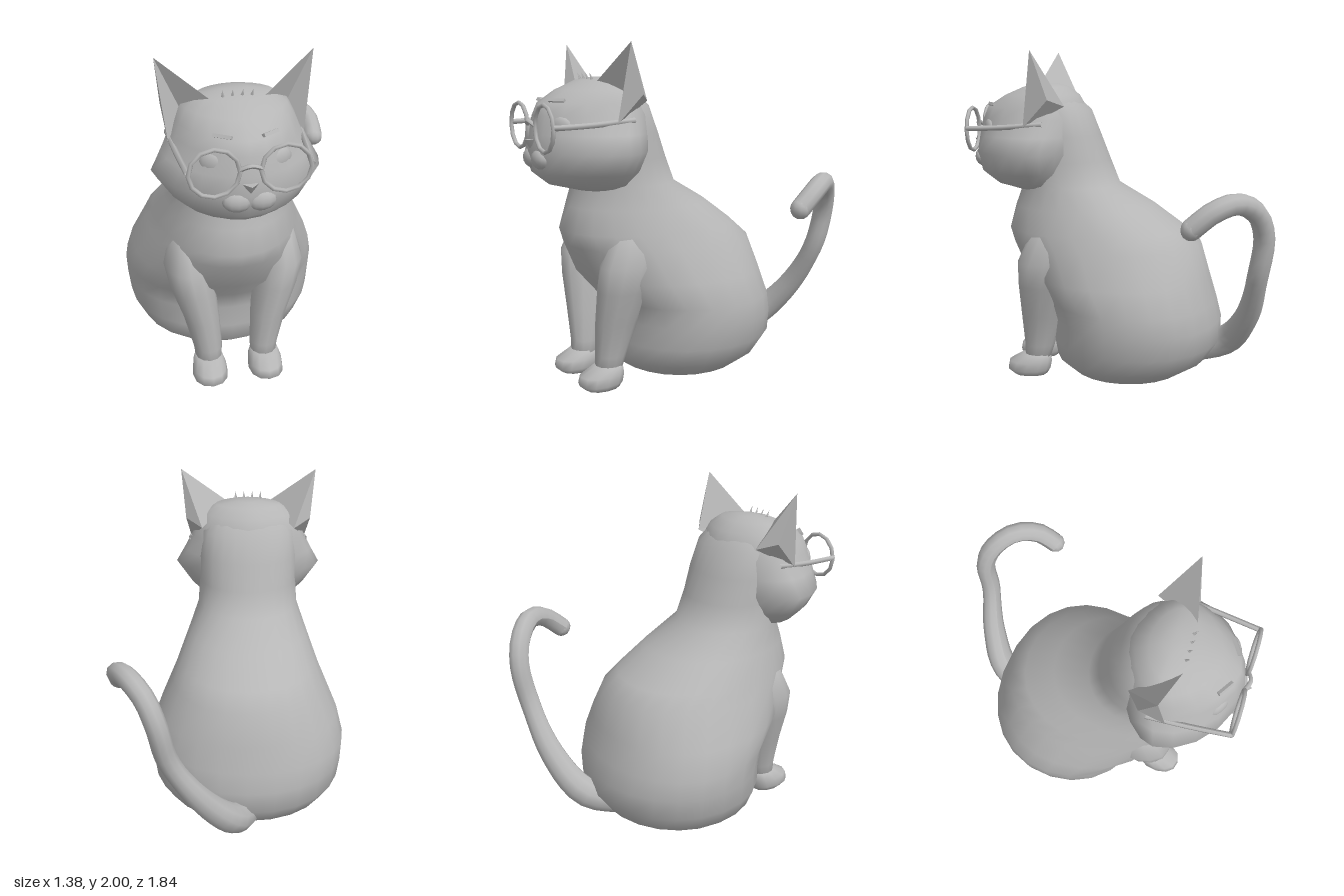
import * as THREE from 'three';

const MID = -0.09; // the cat's own centre line
const fur = new THREE.MeshStandardMaterial({ color: 0xb6b6b6, side: THREE.DoubleSide });
fur.name = 'grey';

// Skin horizontal sections, rows of [y, zFront, zBack, zWidest, halfWidth, xCentre]
function loft(rows, seg, p = 1) {
  const pos = [], idx = [];
  const pw = (v) => Math.sign(v) * Math.pow(Math.abs(v), p);
  const first = rows[0], last = rows[rows.length - 1];
  const shrink = (r) => [r[0], r[3] + 0.001, r[3] - 0.001, r[3], 0.001, r[5] || 0];
  const all = [shrink(first), ...rows, shrink(last)];
  for (const [y, zf, zb, zw, rx, x0 = 0] of all) {
    for (let j = 0; j < seg; j++) {
      const a = (j / seg) * Math.PI * 2, s = pw(Math.sin(a));
      pos.push(x0 + rx * pw(Math.cos(a)), y, zw + (s > 0 ? zf - zw : zw - zb) * s);
    }
  }
  for (let i = 0; i < all.length - 1; i++) {
    for (let j = 0; j < seg; j++) {
      const k = (j + 1) % seg;
      const a = i * seg + j, b = i * seg + k, c = a + seg, d = b + seg;
      idx.push(a, c, b, b, c, d);
    }
  }
  const g = new THREE.BufferGeometry();
  g.setAttribute('position', new THREE.Float32BufferAttribute(pos, 3));
  g.setIndex(idx);
  g.computeVertexNormals();
  return g;
}

// Separate triangles between named corner points
function facets(points, faces) {
  const g = new THREE.BufferGeometry();
  g.setAttribute('position', new THREE.Float32BufferAttribute(faces.flat().flatMap((i) => points[i]), 3));
  g.computeVertexNormals();
  return g;
}

// Tube along a smooth path, with its radius given by a function of t
function taperedTube(points, radiusAt, seg, sides) {
  const path = new THREE.CatmullRomCurve3(points.map((p) => new THREE.Vector3(...p)));
  const g = new THREE.TubeGeometry(path, seg, 1, sides, false);
  const pos = g.attributes.position, v = new THREE.Vector3();
  for (let i = 0; i < pos.count; i++) {
    const t = Math.floor(i / (sides + 1)) / seg;
    const c = path.getPointAt(t);
    v.fromBufferAttribute(pos, i).sub(c).multiplyScalar(radiusAt(t)).add(c);
    pos.setXYZ(i, v.x, v.y, v.z);
  }
  g.computeVertexNormals();
  return g;
}

export function createModel() {
  const model = new THREE.Group();
  model.name = 'sittingCat';
  const cat = new THREE.Group();
  cat.name = 'cat';
  cat.position.x = MID;
  model.add(cat);

  const add = (name, geometry, x = 0, y = 0, z = 0) => {
    const m = new THREE.Mesh(geometry, fur);
    m.name = name;
    m.position.set(x, y, z);
    cat.add(m);
    return m;
  };

  // Pear-shaped body running up into the neck
  add('body', loft([
    [0.01, 0.18, -0.12, 0.03, 0.2],
    [0.05, 0.31, -0.42, -0.06, 0.41],
    [0.13, 0.40, -0.55, -0.08, 0.51],
    [0.25, 0.42, -0.63, -0.10, 0.575],
    [0.38, 0.41, -0.63, -0.11, 0.59],
    [0.5, 0.45, -0.60, -0.11, 0.595],
    [0.65, 0.58, -0.555, -0.06, 0.555],
    [0.84, 0.67, -0.50, 0.0, 0.465],
    [0.93, 0.70, -0.40, 0.08, 0.425],
    [1.07, 0.66, -0.21, 0.2, 0.365],
    [1.2, 0.61, 0.01, 0.32, 0.31],
    [1.35, 0.6, 0.07, 0.36, 0.3],
    [1.5, 0.55, 0.13, 0.36, 0.3],
    [1.65, 0.5, 0.19, 0.38, 0.28],
    [1.75, 0.5, 0.3, 0.42, 0.22],
  ], 24, 0.96));

  // Head with wide pointed cheeks
  add('head', loft([
    [1.17, 0.62, 0.36, 0.5, 0.2],
    [1.21, 0.78, 0.3, 0.5, 0.3],
    [1.28, 0.87, 0.25, 0.5, 0.37],
    [1.40, 0.895, 0.22, 0.5, 0.455],
    [1.5, 0.88, 0.2, 0.48, 0.4],
    [1.6, 0.86, 0.2, 0.45, 0.35],
    [1.67, 0.83, 0.22, 0.45, 0.32],
    [1.74, 0.72, 0.26, 0.45, 0.28],
    [1.79, 0.6, 0.33, 0.45, 0.2],
    [1.81, 0.5, 0.4, 0.45, 0.07],
  ], 20, 1.12));

  // Face: nose, muzzle and tuft of hair
  add('nose', new THREE.ConeGeometry(0.04, 0.06, 4), 0, 1.44, 0.885).rotation.x = Math.PI;
  for (let i = 0; i < 4; i++) {
    const spike = add('hairTuft', new THREE.ConeGeometry(0.02, 0.09, 4), -0.075 + i * 0.05, 1.795, 0.54);
    spike.rotation.set(0.4, 0, 0.12 - i * 0.08);
  }

  for (const s of [-1, 1]) {
    const side = s > 0 ? 'left' : 'right';

    // Hollow ear opening forwards
    add(side + 'Ear', facets([
      [s * 0.41, 2.0, 0.47],
      [s * 0.12, 1.77, 0.55],
      [s * 0.36, 1.56, 0.53],
      [s * 0.28, 1.68, 0.30],
      [s * 0.27, 1.68, 0.44],
      [s * 0.38, 1.72, 0.38],
    ], [[0, 1, 3], [0, 3, 5], [0, 5, 2], [5, 3, 2], [0, 4, 1], [0, 2, 4]]));

    // Eye, brow and half of the muzzle
    const eye = add(side + 'Eye', new THREE.SphereGeometry(0.075, 14, 10), s * 0.17, 1.54, 0.775);
    eye.scale.set(1, 0.85, 0.45);
    eye.rotation.y = s * 0.5;
    const brow = add(side + 'Brow', new THREE.BoxGeometry(0.1, 0.018, 0.02), s * 0.12, 1.685, 0.775);
    brow.rotation.set(-0.6, s * 0.5, s * 0.3);
    const muzzle = add(side + 'Muzzle', new THREE.SphereGeometry(0.08, 12, 8), s * 0.06, 1.365, 0.855);
    muzzle.scale.set(1, 0.75, 0.6);

    // Spectacle rim and temple arm
    add(side + 'Rim', new THREE.TorusGeometry(0.128, 0.012, 6, 12), s * 0.18, 1.54, 0.88);
    add(side + 'TempleArm', taperedTube(
      [[s * 0.31, 1.55, 0.88], [s * 0.335, 1.56, 0.65], [s * 0.355, 1.58, 0.42]], () => 0.015, 6, 6));

    // Front leg from shoulder to ankle
    add(side + 'FrontLeg', loft([
      [0.08, 0.59, 0.44, 0.51, 0.075, s * 0.165],
      [0.2, 0.59, 0.40, 0.5, 0.085, s * 0.17],
      [0.4, 0.60, 0.34, 0.47, 0.105, s * 0.2],
      [0.6, 0.605, 0.28, 0.44, 0.13, s * 0.245],
      [0.75, 0.6, 0.22, 0.41, 0.135, s * 0.27],
      [0.92, 0.52, 0.2, 0.36, 0.09, s * 0.27],
    ], 12));
    add(side + 'Paw', loft([
      [0.005, 0.66, 0.45, 0.56, 0.08, s * 0.17],
      [0.04, 0.70, 0.43, 0.57, 0.105, s * 0.17],
      [0.09, 0.69, 0.42, 0.55, 0.1, s * 0.17],
      [0.14, 0.60, 0.43, 0.51, 0.08, s * 0.17],
    ], 12, 0.9));
  }

  // Spectacle bridge
  add('bridge', taperedTube([[-0.055, 1.55, 0.88], [0, 1.575, 0.9], [0.055, 1.55, 0.88]], () => 0.012, 6, 6));

  // Tail sweeping up behind and curling forwards
  const tail = [
    [0.0, 0.16, -0.42], [0.08, 0.24, -0.66], [0.25, 0.45, -0.78], [0.43, 0.75, -0.83], [0.48, 0.98, -0.855],
    [0.54, 1.12, -0.81], [0.64, 1.19, -0.7], [0.71, 1.15, -0.57], [0.72, 1.06, -0.46],
  ];
  add('tail', taperedTube(tail, (t) => 0.105 - 0.045 * Math.min(1, t * 2.2), 28, 10));
  add('tailTip', new THREE.SphereGeometry(0.06, 10, 8), 0.72, 1.06, -0.46);

  return model;
}
